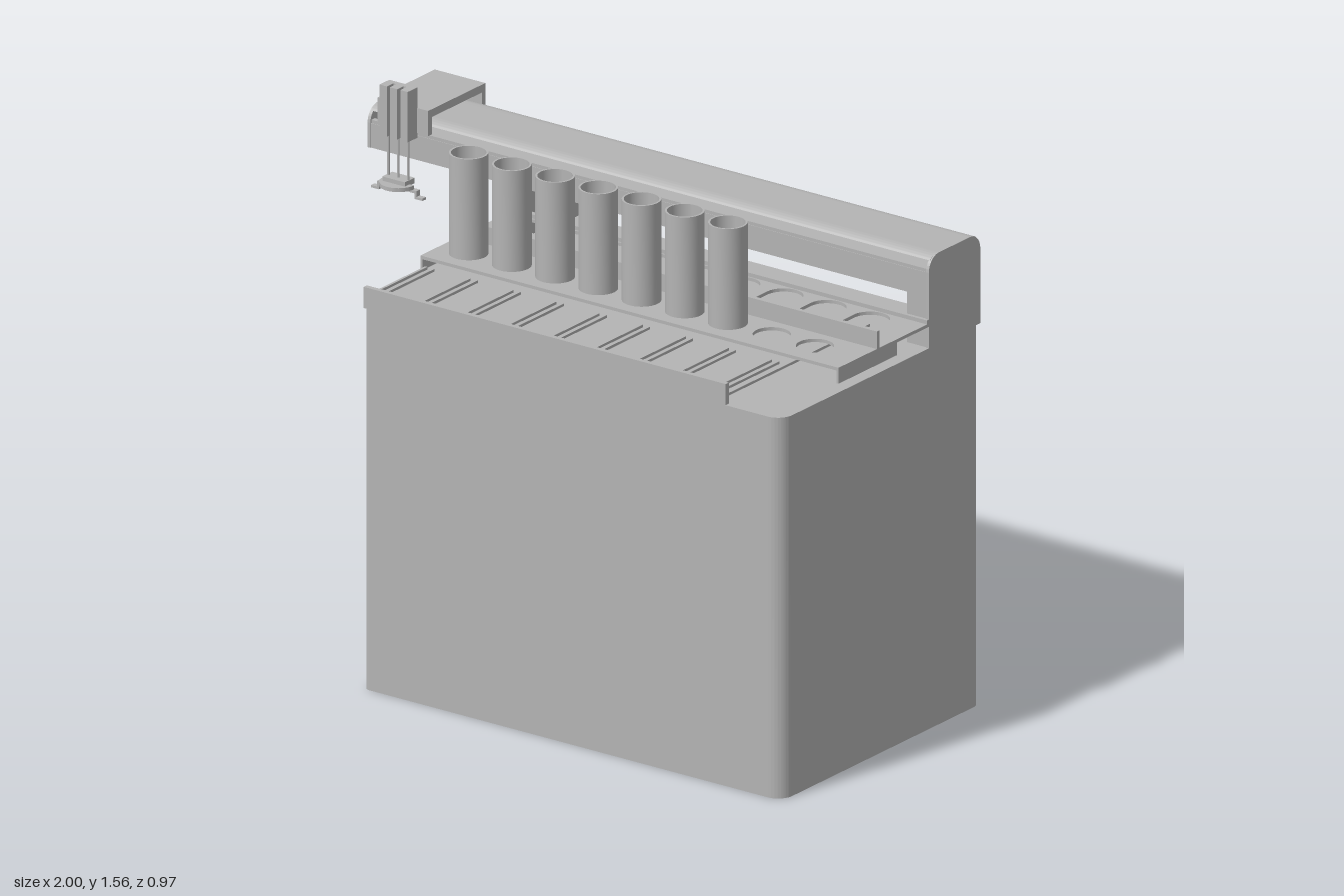
import * as THREE from 'three';
import { toCreasedNormals } from 'three/addons/utils/BufferGeometryUtils.js';

export function createModel() {
  const model = new THREE.Group();
  const grey = new THREE.MeshStandardMaterial({ color: 0xb4b4b4, side: THREE.DoubleSide });
  grey.name = 'machine grey';

  const add = (name, geometry, parent = model) => {
    const mesh = new THREE.Mesh(geometry, grey);
    mesh.name = name;
    parent.add(mesh);
    return mesh;
  };
  // Box given by its limits on each axis
  const box = (name, x0, x1, y0, y1, z0, z1, parent) => {
    const g = new THREE.BoxGeometry(x1 - x0, y1 - y0, z1 - z0);
    g.translate((x0 + x1) / 2, (y0 + y1) / 2, (z0 + z1) / 2);
    return add(name, g, parent);
  };
  const cyl = (name, r, x, y0, y1, z, parent, sides = 16) => {
    const g = new THREE.CylinderGeometry(r, r, y1 - y0, sides);
    g.translate(x, (y0 + y1) / 2, z);
    return add(name, g, parent);
  };
  const extrude = (shape, depth) => toCreasedNormals(
    new THREE.ExtrudeGeometry(shape, { depth, bevelEnabled: false, curveSegments: 12 }), 0.5);
  // Floor plan (x, -z) raised from y0 to y1
  const rise = (name, shape, y0, y1, parent) =>
    add(name, extrude(shape, y1 - y0).rotateX(-Math.PI / 2).translate(0, y0, 0), parent);
  // Side profile (-z, y) swept from x0 to x1
  const sweep = (name, shape, x0, x1, parent) =>
    add(name, extrude(shape, x1 - x0).rotateY(Math.PI / 2).translate(x0, 0, 0), parent);
  // Rectangle with radii: lower left, lower right, upper right, upper left
  const rounded = (x0, x1, y0, y1, [a, b, c, d]) => {
    const s = new THREE.Shape();
    s.moveTo(x0 + a, y0);
    s.lineTo(x1 - b, y0);
    if (b) s.absarc(x1 - b, y0 + b, b, -Math.PI / 2, 0);
    s.lineTo(x1, y1 - c);
    if (c) s.absarc(x1 - c, y1 - c, c, 0, Math.PI / 2);
    s.lineTo(x0 + d, y1);
    if (d) s.absarc(x0 + d, y1 - d, d, Math.PI / 2, Math.PI);
    s.lineTo(x0, y0 + a);
    if (a) s.absarc(x0 + a, y0 + a, a, Math.PI, Math.PI * 1.5);
    return s;
  };

  // Cabinet
  rise('cabinet', rounded(-0.49, 1, -0.485, 0.47, [0.02, 0.05, 0.03, 0.03]), 0, 1.17);

  // Gantry: beam on two posts, thin end caps and a domed cover over an open slot
  const gantry = new THREE.Group();
  gantry.name = 'gantry';
  model.add(gantry);
  box('beam', -0.995, 0.995, 1.325, 1.4, -0.47, -0.225, gantry);
  box('leftPost', 0.92, 0.995, 1.17, 1.325, -0.47, -0.225, gantry);
  box('rightPost', -0.49, -0.43, 1.17, 1.325, -0.47, -0.235, gantry);
  const cap = (y0) => rounded(0.222, 0.47, y0, 1.45, [0, 0, 0.05, 0.05]);
  sweep('leftEndCap', cap(1.17), 0.99, 1, gantry);
  sweep('rightEndCap', cap(1.325), -1, -0.99, gantry);
  const dome = new THREE.Shape();
  dome.moveTo(0.234, 1.435);
  dome.lineTo(0.458, 1.435);
  dome.quadraticCurveTo(0.445, 1.449, 0.42, 1.449);
  dome.lineTo(0.272, 1.449);
  dome.quadraticCurveTo(0.247, 1.449, 0.234, 1.435);
  sweep('beamCover', dome, -0.995, 0.995, gantry);
  for (const z of [-0.235, -0.46])
    box('rail', -0.99, 0.99, 1.4, 1.41, z - 0.008, z + 0.008, gantry);

  // Carriage straddling the beam
  const carriage = new THREE.Group();
  carriage.name = 'carriage';
  model.add(carriage);
  const bridge = new THREE.Shape();
  [[0.21, 1.415], [0.228, 1.415], [0.228, 1.468], [0.468, 1.468],
    [0.468, 1.415], [0.485, 1.415], [0.485, 1.492], [0.21, 1.492]]
    .forEach(([u, v], i) => (i ? bridge.lineTo(u, v) : bridge.moveTo(u, v)));
  sweep('carriageBridge', bridge, -0.955, -0.775, carriage);
  // Lifting head with a middle column between two outer ones
  box('headBack', -0.915, -0.815, 1.4, 1.555, -0.212, -0.196, carriage);
  for (const x of [-0.902, -0.865, -0.828])
    box('headColumn', x - 0.013, x + 0.013, 1.4, 1.555, -0.2, -0.165, carriage);

  // Gripper hanging on three rods
  const gripper = new THREE.Group();
  gripper.name = 'gripper';
  model.add(gripper);
  for (const x of [-0.9, -0.865, -0.83])
    cyl('gripperRod', 0.004, x, 1.265, 1.41, -0.188, gripper, 10);
  const half = new THREE.Shape();
  half.absarc(-0.865, 0.188, 0.055, Math.PI, Math.PI * 2);
  rise('gripperPlate', half, 1.25, 1.262, gripper);
  box('gripperBlock', -0.905, -0.825, 1.258, 1.275, -0.212, -0.165, gripper);
  for (const s of [-1, 1]) {
    const arm = (name, a, b, y0, y1) => box(name, -0.865 + Math.min(s * a, s * b),
      -0.865 + Math.max(s * a, s * b), y0, y1, -0.197, -0.18, gripper);
    arm('gripperArm', 0.03, 0.07, 1.242, 1.25);
    arm('gripperArmDrop', 0.064, 0.07, 1.226, 1.25);
    arm('gripperFinger', 0.064, 0.092, 1.225, 1.232);
  }

  // Deck with a row of arched openings and a row of round ones
  const spot = (i) => -0.39 + 0.154 * i;
  const deck = rounded(-0.49, 1, -0.212, 0.225, [0, 0, 0, 0]);
  for (let i = 0; i < 9; i++) {
    const x = spot(i);
    const round = new THREE.Path();
    round.absarc(x, -0.112, 0.055, 0, Math.PI * 2, true);
    const arch = new THREE.Path();
    arch.moveTo(x - 0.057, 0.07);
    arch.lineTo(x + 0.057, 0.07);
    arch.lineTo(x + 0.057, 0.153);
    arch.absarc(x, 0.153, 0.057, 0, Math.PI);
    arch.lineTo(x - 0.057, 0.07);
    deck.holes.push(round, arch);
  }
  rise('rackDeck', deck, 1.236, 1.246);
  for (const x of [-0.49, 0.992])
    box('deckFlange', x, x + 0.008, 1.197, 1.24, -0.07, 0.212);
  box('deckBar', -0.49, 1, 1.246, 1.3, 0.014, 0.028);
  box('deckRearStrip', -0.49, 1, 1.246, 1.258, -0.232, -0.214);

  // Shallow tray with paired dividers and a front lip
  box('tray', -0.49, 0.8, 1.195, 1.203, -0.21, 0.472);
  box('trayLip', -0.49, 0.8, 1.17, 1.235, 0.47, 0.485);
  for (let i = 0; i < 9; i++)
    for (const d of [-0.013, 0.013]) {
      const x = -0.465 + 0.1535 * i + d;
      box('trayDivider', x - 0.004, x + 0.004, 1.203, 1.211, 0.2, 0.47);
    }

  // Open-topped tubes standing on the deck
  const wall = [[0, 1.24], [0.057, 1.24], [0.057, 1.556], [0.051, 1.556], [0.051, 1.25], [0, 1.25]]
    .map(([r, y]) => new THREE.Vector2(r, y));
  const tube = toCreasedNormals(new THREE.LatheGeometry(wall, 32), 0.5);
  for (let i = 0; i < 7; i++) add('sampleTube', tube).position.set(spot(i), 0, 0.115);

  return model;
}
